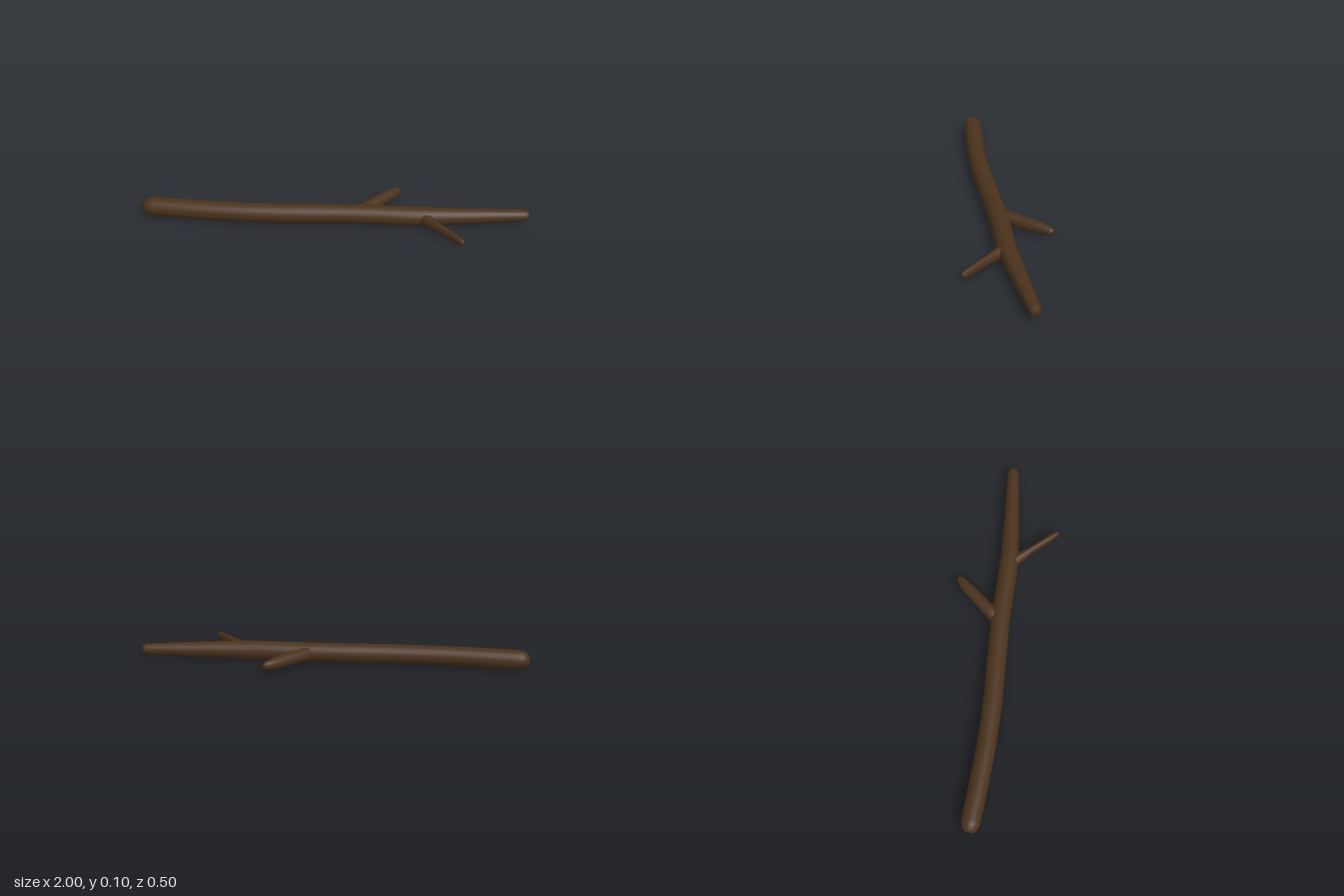
import * as THREE from 'three';

const SIDES = 24;
const AXIS_Y = 0.052;

// Closed tapering limb through stations [x, z, horizontal radius, vertical radius]
function limb(name, stations, material) {
  const positions = [], index = [];
  stations.forEach(([x, z, rh, rv = rh], i) => {
    const a = stations[Math.max(i - 1, 0)];
    const b = stations[Math.min(i + 1, stations.length - 1)];
    const len = Math.hypot(b[0] - a[0], b[1] - a[1]);
    const tx = (b[0] - a[0]) / len, tz = (b[1] - a[1]) / len;
    for (let j = 0; j < SIDES; j++) {
      const t = (j / SIDES) * Math.PI * 2;
      const h = Math.cos(t) * rh;
      positions.push(x - tz * h, AXIS_Y + Math.sin(t) * rv, z + tx * h);
      if (i === 0) continue;
      const k = (j + 1) % SIDES, p = (i - 1) * SIDES, q = i * SIDES;
      index.push(p + j, q + j, p + k, p + k, q + j, q + k);
    }
  });
  const geometry = new THREE.BufferGeometry();
  geometry.setAttribute('position', new THREE.Float32BufferAttribute(positions, 3));
  geometry.setIndex(index);
  geometry.computeVertexNormals();
  const mesh = new THREE.Mesh(geometry, material);
  mesh.name = name;
  return mesh;
}

export function createModel() {
  const group = new THREE.Group();
  group.name = 'stick';
  const bark = new THREE.MeshStandardMaterial({ color: 0x4a321c });

  // Gently bowed main stem, rounded at the thick end and blunt at the thin end
  group.add(limb('mainStem', [
    [-1, -0.006, 0.0005], [-0.998, -0.006, 0.02], [-0.985, -0.005, 0.037],
    [-0.965, -0.004, 0.046], [-0.94, -0.003, 0.05],
    [-0.75, 0.01, 0.05], [-0.57, 0.019, 0.05], [-0.44, 0.021, 0.05], [-0.3, 0.02, 0.05],
    [-0.1, 0.01, 0.05], [0.1, 0.001, 0.05], [0.25, 0.001, 0.05], [0.4, 0.003, 0.05],
    [0.5, 0, 0.048], [0.65, -0.012, 0.042], [0.82, -0.028, 0.036], [0.975, -0.043, 0.03],
    [0.992, -0.044, 0.027], [0.999, -0.045, 0.021], [1, -0.045, 0.0005],
  ], bark));

  // Thicker twig growing towards the back
  group.add(limb('backTwig', [
    [0.12, 0, 0.001], [0.13, -0.015, 0.036], [0.165, -0.06, 0.035],
    [0.238, -0.147, 0.031, 0.032], [0.282, -0.2, 0.029, 0.03],
    [0.315, -0.234, 0.022, 0.023], [0.327, -0.246, 0.015, 0.017], [0.33, -0.249, 0.0005],
  ], bark));

  // Thinner, slightly flattened twig growing towards the front
  group.add(limb('frontTwig', [
    [0.445, 0.005, 0.001], [0.455, 0.016, 0.032, 0.031], [0.487, 0.052, 0.027, 0.03],
    [0.537, 0.108, 0.018, 0.026], [0.605, 0.184, 0.017, 0.025],
    [0.647, 0.231, 0.014, 0.02], [0.656, 0.241, 0.01, 0.016], [0.659, 0.245, 0.0005],
  ], bark));

  return group;
}
